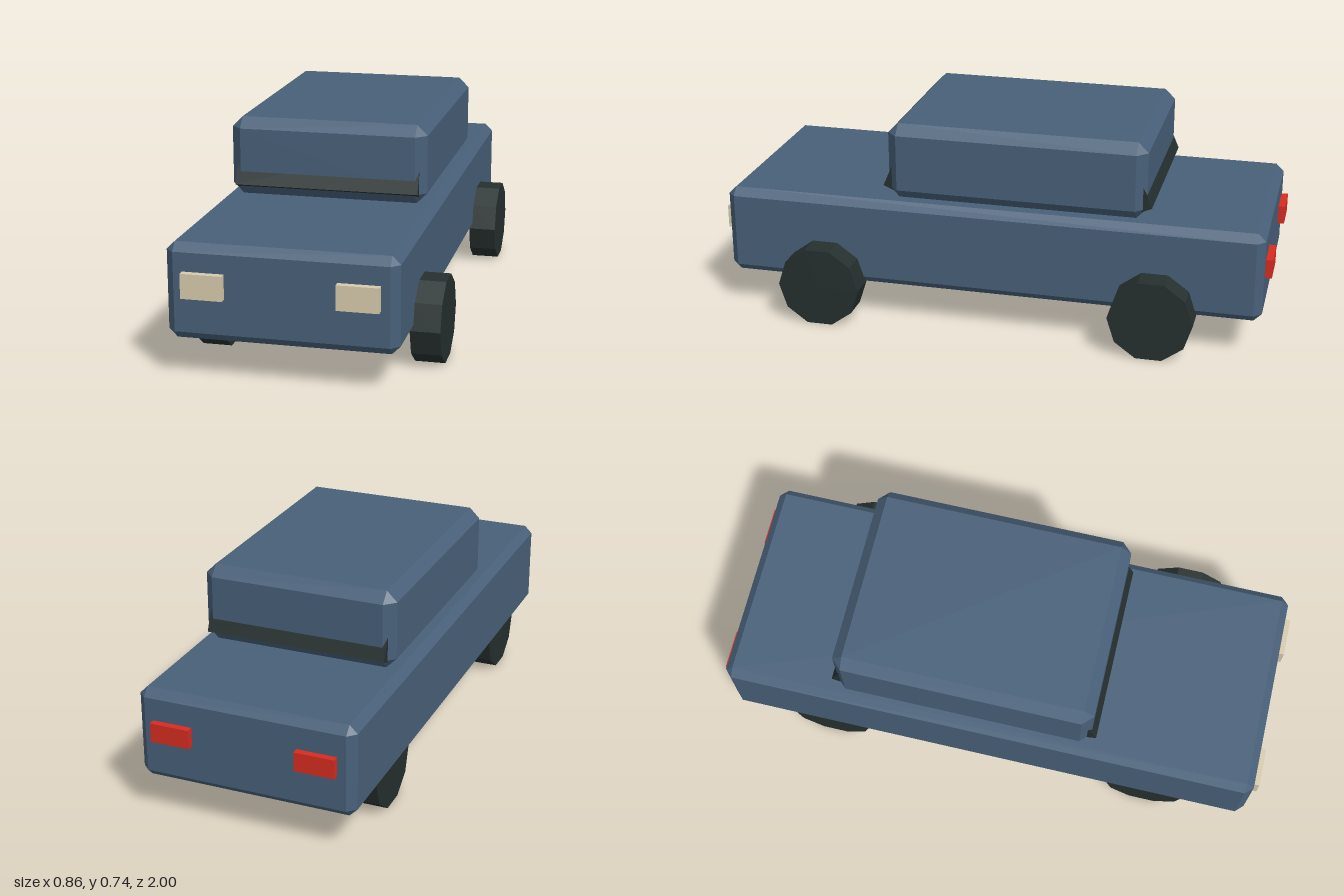
import * as THREE from 'three';
import { ConvexGeometry } from 'three/addons/geometries/ConvexGeometry.js';

const paint = (name, color) => {
  const m = new THREE.MeshStandardMaterial({ color, flatShading: true });
  m.name = name;
  return m;
};

// Box between two corners, with every edge cut by a flat chamfer c
function chamferedBox(min, max, c) {
  const points = [];
  for (let corner = 0; corner < 8; corner++) {
    for (let axis = 0; axis < 3; axis++) {
      const p = [0, 1, 2].map((a) => {
        const inset = a === axis ? 0 : c;
        return corner & (1 << a) ? max[a] - inset : min[a] + inset;
      });
      points.push(new THREE.Vector3(...p));
    }
  }
  return new ConvexGeometry(points);
}

export function createModel() {
  const car = new THREE.Group();
  car.name = 'car';
  const blue = paint('blue paint', 0x486079);
  const dark = paint('dark rubber and glass', 0x25302f);
  const cream = paint('headlight cream', 0xd8cbad);
  const red = paint('tail light red', 0xd82c20);

  const add = (name, geometry, material, x = 0, y = 0, z = 0) => {
    const mesh = new THREE.Mesh(geometry, material);
    mesh.name = name;
    mesh.position.set(x, y, z);
    car.add(mesh);
    return mesh;
  };

  // Body and cabin, both set slightly towards the right
  add('body', chamferedBox([-0.43, 0.134, -0.976], [0.337, 0.459, 0.976], 0.028), blue);
  add('cabin', chamferedBox([-0.395, 0.459, -0.558], [0.302, 0.737, 0.374], 0.037), blue);

  // Sloping windscreens, mostly sunk into the cabin
  const cabinMiddle = -0.092;
  const slope = 0.41;
  const glass = new THREE.BoxGeometry(0.65, 0.18, 0.04);
  glass.translate(0, 0.09, -0.02); // pivot on the lower outer edge
  for (const side of [1, -1]) {
    const pivot = new THREE.Group();
    pivot.name = side > 0 ? 'windscreen' : 'rearWindow';
    pivot.position.set(-0.047, 0.503, cabinMiddle + side * 0.485);
    pivot.rotation.y = side > 0 ? 0 : Math.PI;
    const pane = new THREE.Mesh(glass, dark);
    pane.name = pivot.name + 'Pane';
    pane.rotation.x = -slope;
    pivot.add(pane);
    car.add(pivot);
  }

  // Ten-sided wheels; the left pair stands clear of the body
  const wheel = new THREE.CylinderGeometry(0.15, 0.15, 0.102, 10);
  wheel.rotateZ(Math.PI / 2);
  for (const [side, x] of [['left', 0.377], ['right', -0.367]]) {
    add(side + 'FrontWheel', wheel, dark, x, 0.1427, 0.603);
    add(side + 'RearWheel', wheel, dark, x, 0.1427, -0.603);
  }

  // Lights
  for (const [side, x] of [['left', 0.209], ['right', -0.302]]) {
    add(side + 'Headlight', new THREE.BoxGeometry(0.139, 0.084, 0.05), cream, x, 0.325, 0.975);
    add(side + 'TailLight', new THREE.BoxGeometry(0.139, 0.067, 0.05), red, x, 0.319, -0.975);
  }
  return car;
}
